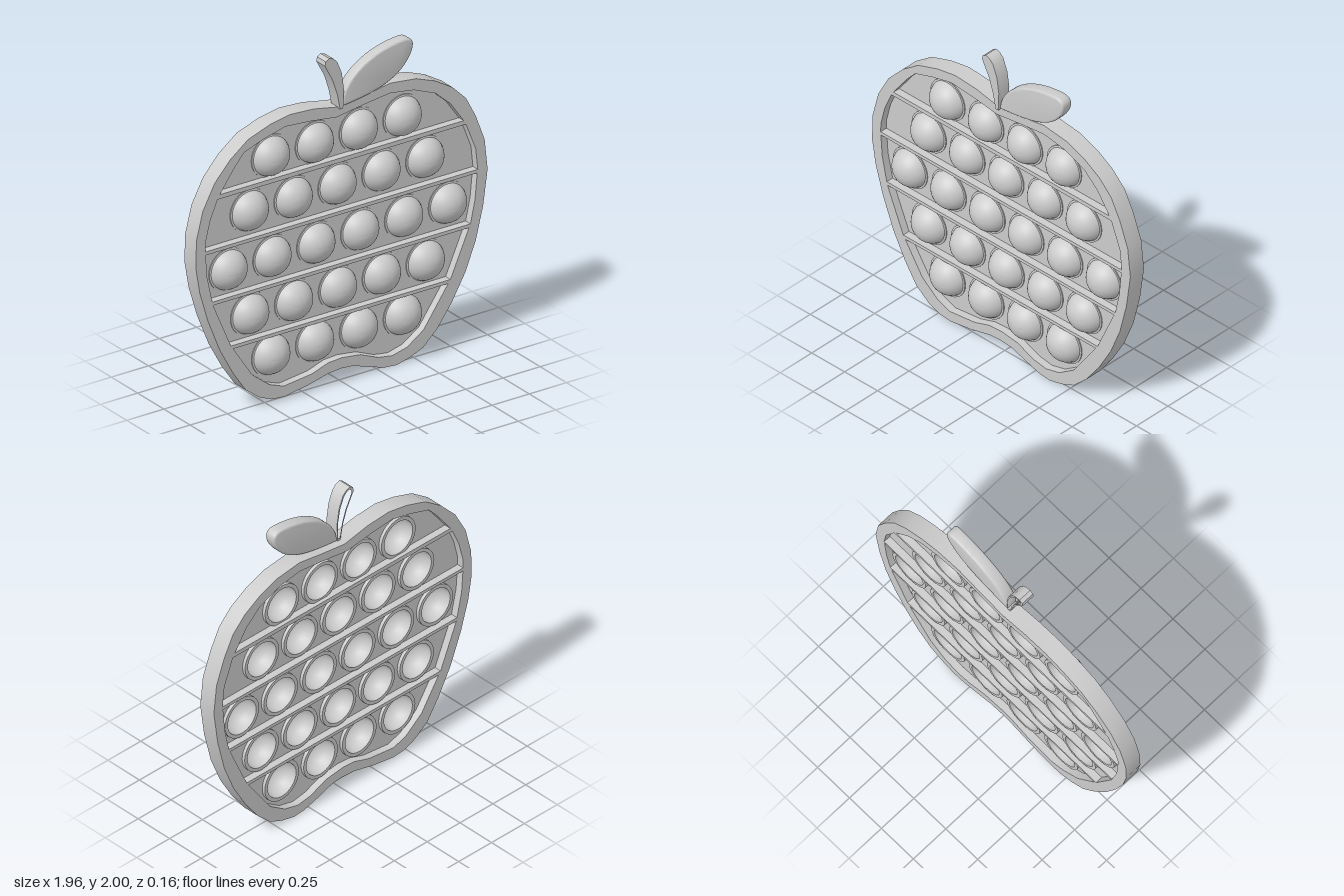
import * as THREE from 'three';
import { toCreasedNormals } from 'three/addons/utils/BufferGeometryUtils.js';

const material = new THREE.MeshStandardMaterial({ color: 0xcccccc });
const toPoints = (list) => list.map(([x, y]) => new THREE.Vector2(x, y));

// Extrudes a shape between two z values.
function slab(shape, z0, z1, bevel = 0) {
  const geometry = new THREE.ExtrudeGeometry(shape, {
    depth: z1 - z0 - 2 * bevel, curveSegments: 24,
    bevelEnabled: bevel > 0, bevelThickness: bevel, bevelSize: bevel, bevelOffset: -bevel, bevelSegments: 3,
  });
  geometry.translate(0, 0, z0 + bevel);
  return toCreasedNormals(geometry, 0.6);
}

function part(name, geometry) {
  const mesh = new THREE.Mesh(geometry, material);
  mesh.name = name;
  return mesh;
}

// Outer apple silhouette
const outline = [
  [-0.015, 1.675], [-0.19, 1.71], [-0.35, 1.72], [-0.485, 1.695], [-0.63, 1.645], [-0.75, 1.555],
  [-0.855, 1.44], [-0.935, 1.29], [-0.977, 1.125], [-0.982, 0.96], [-0.955, 0.8], [-0.9, 0.615],
  [-0.82, 0.415], [-0.73, 0.25], [-0.645, 0.125], [-0.55, 0.055], [-0.47, 0.022], [-0.385, 0.015],
  [-0.23, 0.04], [-0.09, 0.075], [0, 0.082], [0.08, 0.075], [0.195, 0.035], [0.29, 0.007],
  [0.37, 0], [0.46, 0.022], [0.55, 0.06], [0.645, 0.15], [0.74, 0.28], [0.83, 0.437],
  [0.9, 0.61], [0.95, 0.81], [0.98, 1.025], [0.96, 1.21], [0.9, 1.37], [0.835, 1.495],
  [0.745, 1.585], [0.63, 1.655], [0.5, 1.705], [0.325, 1.726], [0.17, 1.7],
];

// One opening per row; the bars are what remains between them
const openings = [
  [[-0.82, 1.362], [-0.72, 1.5], [-0.655, 1.575], [-0.52, 1.62], [-0.38, 1.655], [-0.2, 1.64], [-0.035, 1.617],
    [0.155, 1.645], [0.325, 1.665], [0.485, 1.64], [0.63, 1.58], [0.73, 1.49], [0.82, 1.362]],
  [[-0.835, 1.336], [-0.885, 1.22], [-0.915, 1.1], [-0.917, 1.04], [0.914, 1.04], [0.9, 1.17], [0.835, 1.336]],
  [[-0.915, 1.019], [-0.905, 0.88], [-0.87, 0.722], [0.865, 0.722], [0.895, 0.86], [0.91, 1.019]],
  [[-0.865, 0.701], [-0.745, 0.421], [0.73, 0.421], [0.855, 0.701]],
  [[-0.73, 0.4], [-0.6, 0.205], [-0.485, 0.115], [-0.39, 0.08], [-0.2, 0.103], [-0.09, 0.14], [0, 0.146],
    [0.125, 0.13], [0.245, 0.08], [0.34, 0.065], [0.44, 0.09], [0.55, 0.165], [0.645, 0.3], [0.715, 0.4]],
];

// Rows of bubbles: height, count, centre
const rows = [[1.48, 4, -0.005], [1.186, 5, 0], [0.866, 6, 0.005], [0.558, 5, 0.003], [0.273, 4, -0.003]];
const spacing = 0.295;

// Hollow dome with a short collar at its back edge
function bubbleGeometry() {
  const profile = [];
  const centre = -0.042, steps = 10;
  for (let i = 0; i <= steps; i++) {
    const a = (Math.PI / 2) * (1 - i / steps);
    profile.push([0.108 * Math.cos(a), centre + 0.108 * Math.sin(a)]);
  }
  profile.push([0.108, -0.056], [0.13, -0.056], [0.13, -0.012], [0.1185, -0.012]);
  for (let i = 0; i <= steps; i++) {
    const a = 0.25 + (Math.PI / 2 - 0.25) * (i / steps);
    profile.push([0.122 * Math.cos(a), centre + 0.122 * Math.sin(a)]);
  }
  const points = profile.map(([r, y]) => new THREE.Vector2(Math.max(r, 0), y));
  const geometry = new THREE.LatheGeometry(points, 32);
  geometry.rotateX(Math.PI / 2);
  return toCreasedNormals(geometry, 0.6);
}

export function createModel() {
  const model = new THREE.Group();
  model.name = 'applePopToy';

  // Rim and dividing bars
  const frame = new THREE.Shape(toPoints(outline));
  openings.forEach((o) => frame.holes.push(new THREE.Path(toPoints(o))));
  model.add(part('frame', slab(frame, -0.08, 0.028)));

  // Thin sheet with a hole behind each bubble
  const sheet = new THREE.Shape(toPoints(outline.map(([x, y]) => [x * 0.965, 0.86 + (y - 0.86) * 0.965])));
  const bubbles = new THREE.Group();
  bubbles.name = 'bubbles';
  const dome = bubbleGeometry();
  for (const [y, count, centre] of rows) {
    for (let i = 0; i < count; i++) {
      const x = centre + (i - (count - 1) / 2) * spacing;
      sheet.holes.push(new THREE.Path().absarc(x, y, 0.116, 0, Math.PI * 2, true));
      const bubble = part('bubble', dome);
      bubble.position.set(x, y, 0);
      bubbles.add(bubble);
    }
  }
  model.add(part('sheet', slab(sheet, -0.036, -0.018)), bubbles);

  // Leaf with softened edges
  const leaf = new THREE.Shape();
  leaf.moveTo(-0.005, 1.675);
  leaf.bezierCurveTo(0.0, 1.84, 0.2, 1.96, 0.42, 1.97);
  leaf.bezierCurveTo(0.47, 1.97, 0.49, 1.94, 0.465, 1.88);
  leaf.bezierCurveTo(0.39, 1.73, 0.22, 1.70, -0.005, 1.675);
  model.add(part('leaf', slab(leaf, -0.035, 0.038, 0.012)));

  // Stem: front plate and wall, hollow at the back
  const stemPoints = [[-0.025, 1.67], [-0.045, 1.77], [-0.075, 1.86], [-0.127, 1.96], [-0.122, 1.985], [-0.1, 2],
    [-0.07, 1.99], [-0.045, 1.965], [-0.015, 1.89], [0, 1.79], [-0.005, 1.67]];
  const stem = new THREE.Group();
  stem.name = 'stem';
  const wall = new THREE.Shape(toPoints(stemPoints));
  const inner = stemPoints.map(([x, y]) => {
    const mid = -0.015 - 1.0 * (y - 1.67) ** 2 * 0.62; // follows the bend of the stem
    return [mid + (x - mid) * 0.7, 1.85 + (y - 1.85) * 0.9];
  });
  wall.holes.push(new THREE.Path(toPoints(inner)));
  stem.add(part('stemWall', slab(wall, -0.035, 0.03)));
  stem.add(part('stemFront', slab(new THREE.Shape(toPoints(stemPoints)), 0.03, 0.048)));
  model.add(stem);

  return model;
}
